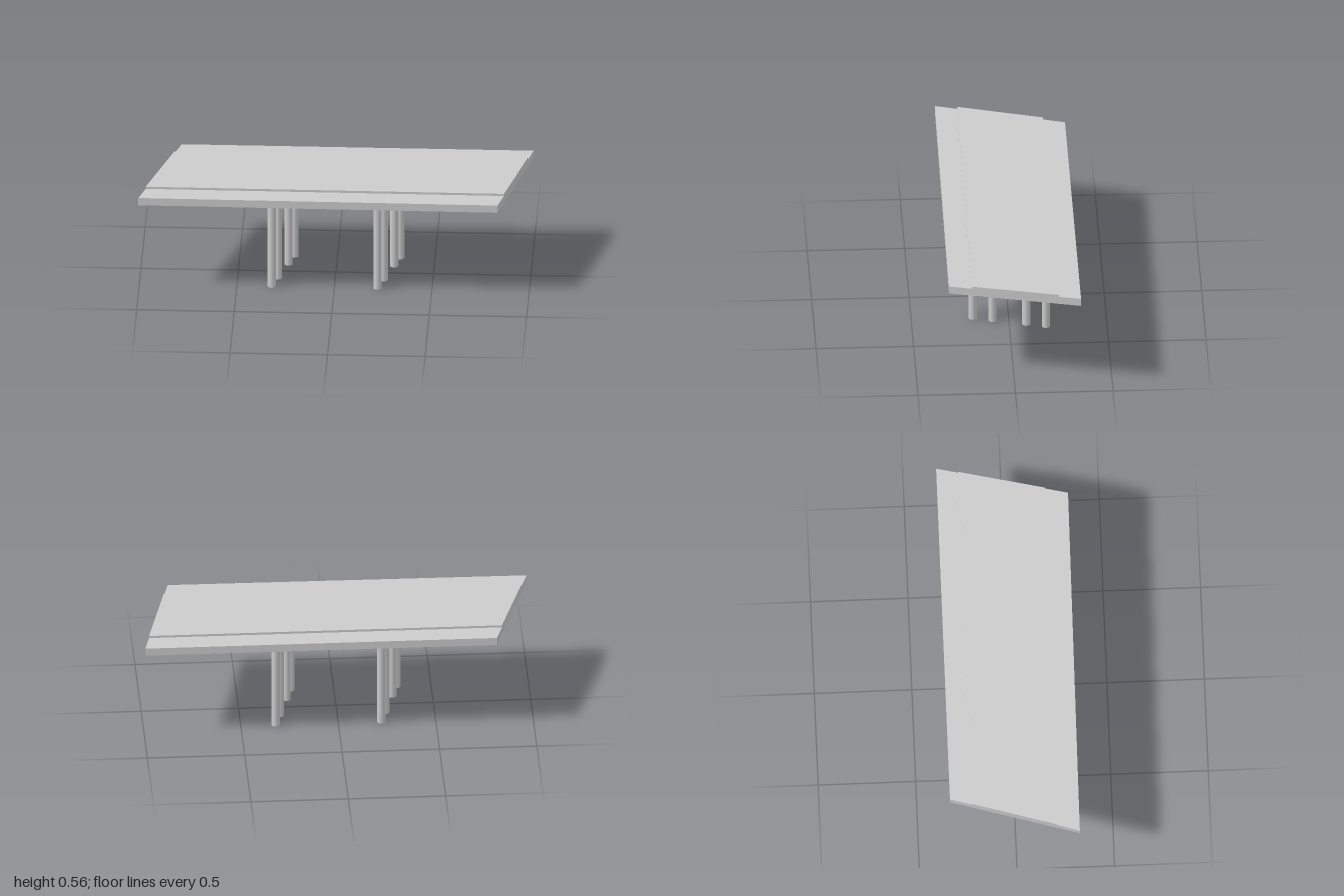
import * as THREE from 'three';

const material = new THREE.MeshStandardMaterial({ color: 0xcccccc });

// Flat slab from plan corners [x, z], spanning y0..y1
function slab(name, corners, y0, y1) {
  const shape = new THREE.Shape(corners.map(([x, z]) => new THREE.Vector2(x, -z)));
  const geometry = new THREE.ExtrudeGeometry(shape, { depth: y1 - y0, bevelEnabled: false });
  geometry.rotateX(-Math.PI / 2).translate(0, y0, 0);
  const mesh = new THREE.Mesh(geometry, material);
  mesh.name = name;
  return mesh;
}

export function createModel() {
  const model = new THREE.Group();
  model.name = 'skewedBridge';
  const underside = 0.508, deckTop = 0.549, roadTop = 0.561;

  // Skewed deck, with the raised roadway between the two side walks
  model.add(slab('deck', [[-1, 0.322], [0.843, 0.334], [1, -0.336], [-0.805, -0.336]], underside, deckTop));
  model.add(slab('roadway', [[-0.967, 0.21], [0.871, 0.217], [0.974, -0.224], [-0.838, -0.224]], deckTop, roadTop));

  // Two rows of four round columns, following the skew of the deck
  const radius = 0.0215, skew = 0.27;
  const columnGeometry = new THREE.CylinderGeometry(radius, radius, underside, 32);
  for (const [name, rowX] of [['rightPier', -0.271], ['leftPier', 0.271]]) {
    const pier = new THREE.Group();
    pier.name = name;
    for (const z of [0.184, 0.084, -0.088, -0.187]) {
      const column = new THREE.Mesh(columnGeometry, material);
      column.name = 'column';
      column.position.set(rowX - skew * z, underside / 2, z);
      pier.add(column);
    }
    model.add(pier);
  }
  return model;
}
